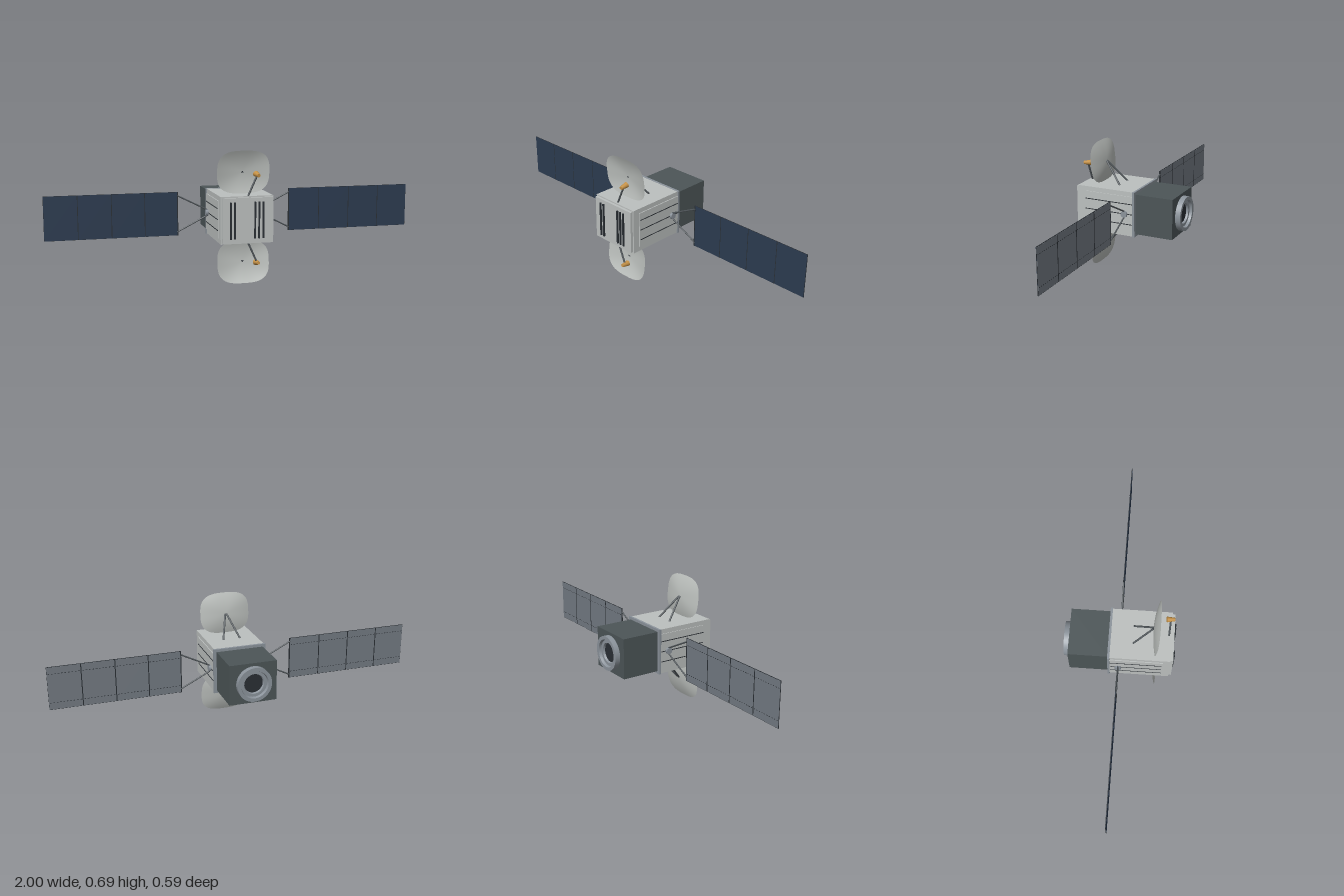
import * as THREE from 'three';

const CY = 0.345; // height of the satellite's central axis

const mat = (name, color, side = THREE.FrontSide) => {
  const m = new THREE.MeshStandardMaterial({ color, side });
  m.name = name;
  return m;
};

export function createModel() {
  const root = new THREE.Group();
  root.name = 'satellite';
  const M = {
    shell: mat('light grey shell', 0xbcc0bf),
    dish: mat('dish grey', 0xbcc0bd, THREE.DoubleSide),
    dark: mat('dark slate', 0x4c5557),
    metal: mat('blue grey metal', 0x8b939b),
    strut: mat('strut grey', 0x50565a),
    line: mat('groove black', 0x2a2f34),
    cell: mat('solar navy', 0x2c3b50),
    back: mat('panel back grey', 0x737a82),
    copper: mat('copper', 0xc69247, THREE.DoubleSide),
  };

  const add = (name, geo, material, x = 0, y = 0, z = 0, parent = root) => {
    const m = new THREE.Mesh(geo, material);
    m.name = name;
    m.position.set(x, y, z);
    parent.add(m);
    return m;
  };
  const box = (name, material, w, h, d, x, y, z, parent) =>
    add(name, new THREE.BoxGeometry(w, h, d), material, x, y, z, parent);
  // Round bar between two points, with r1 at a and r2 at b
  const rod = (name, material, a, b, r1, r2 = r1, parent = root, sides = 10) => {
    const va = new THREE.Vector3(...a), dir = new THREE.Vector3(...b).sub(va);
    const m = add(name, new THREE.CylinderGeometry(r2, r1, dir.length(), sides), material, 0, 0, 0, parent);
    m.position.copy(va).addScaledVector(dir, 0.5);
    m.quaternion.setFromUnitVectors(new THREE.Vector3(0, 1, 0), dir.normalize());
    return m;
  };

  // Main body, front plate and rear flange
  box('body', M.shell, 0.276, 0.243, 0.32, 0, CY, 0.113);
  box('frontPlate', M.shell, 0.262, 0.23, 0.014, 0, CY, 0.28);
  box('rearFlange', M.metal, 0.288, 0.246, 0.012, 0, CY, -0.051);
  for (const x of [-0.09, -0.068, 0.037, 0.058, 0.08])
    box('frontRib', M.line, 0.008, 0.188, 0.008, x, CY, 0.291);

  // Rear module with its engine ring
  box('rearModule', M.dark, 0.256, 0.217, 0.209, 0, CY, -0.1605);
  const profile = [[0.0925, 0], [0.0925, 0.028], [0.074, 0.028], [0.07, 0.014], [0.054, 0.014], [0.05, 0.002]];
  const ringGeo = new THREE.LatheGeometry(
    profile.flatMap(([r, h], i) => {
      const p = new THREE.Vector2(r, h);
      return i ? [p, p.clone()] : [p];
    }), 40);
  const ringMat = M.metal;
  ringMat.side = THREE.DoubleSide;
  add('engineRing', ringGeo, ringMat, 0, CY, -0.265).rotation.x = -Math.PI / 2;
  add('engineThroat', new THREE.CircleGeometry(0.054, 40), M.line, 0, CY, -0.268).rotation.y = Math.PI;

  for (const s of [-1, 1]) {
    // Side radiator with three grooves and the array hub
    box('sideRadiator', M.shell, 0.006, 0.193, 0.282, s * 0.14, CY, 0.094);
    for (const dy of [-0.056, 0, 0.056])
      box('radiatorGroove', M.line, 0.002, 0.004, 0.273, s * 0.1437, CY + dy, 0.0935);
    rod('arrayHub', M.metal, [s * 0.138, CY, 0], [s * 0.156, CY, 0], 0.018, 0.018, root, 8);

    // Solar wing: yoke, four panels and hinge bars
    const wing = new THREE.Group();
    wing.name = s > 0 ? 'leftSolarWing' : 'rightSolarWing';
    root.add(wing);
    for (const t of [-1, 1])
      rod('yokeStrut', M.strut, [s * 0.148, CY + t * 0.016, 0], [s * 0.309, CY + t * 0.097, 0], 0.004, 0.004, wing);
    box('yokeBar', M.line, 0.005, 0.232, 0.006, s * 0.307, CY, 0, wing);
    const step = 0.6925 / 4;
    for (let i = 0; i < 4; i++) {
      const x = s * (0.3075 + step * (i + 0.5)), w = step - 0.004;
      box('panelCore', M.line, step - 0.002, 0.232, 0.003, x, CY, 0, wing);
      box('solarCells', M.cell, w, 0.23, 0.001, x, CY, 0.002, wing);
      box('panelBack', M.back, w, 0.228, 0.001, x, CY, -0.002, wing);
      if (i) box('panelHinge', M.line, 0.005, 0.23, 0.0052, s * (0.3075 + step * i), CY, -0.0006, wing);
      // Dashed wiring rows on the back
      for (const t of [-1, 1])
        for (let k = 0; k < 10; k++)
          box('wiringDash', M.line, 0.008, 0.003, 0.0006, x + ((k - 4.5) / 10) * w, CY + t * 0.078, -0.0027, wing);
    }

    // Dish assembly, above and below the body
    const antenna = new THREE.Group();
    antenna.name = s > 0 ? 'upperAntenna' : 'lowerAntenna';
    root.add(antenna);
    const Y = (d) => CY + s * d;

    // Rounded-square bowl, made by reshaping a disc
    const bowl = new THREE.RingGeometry(0.001, 1, 64, 10);
    const p = bowl.attributes.position;
    for (let i = 0; i < p.count; i++) {
      const x = p.getX(i), y = p.getY(i), r = Math.hypot(x, y);
      const k = r / Math.cbrt(Math.abs(x / r) ** 3 + Math.abs(y / r) ** 3);
      p.setXYZ(i, 0.138 * k * (x / r), 0.1115 * k * (y / r), 0.02 * (r * r - 1));
    }
    bowl.computeVertexNormals();
    add('dish', bowl, M.dish, 0, Y(0.234), 0.196, antenna).rotation.x = s * 0.104;
    add('dishCentre', new THREE.CircleGeometry(0.004, 12), M.line, 0, Y(0.234), 0.1775, antenna);
    for (const t of [-1, 1])
      rod('dishStrut', M.strut, [t * 0.048, Y(0.119), 0.073], [t * 0.003, Y(0.234), 0.174], 0.005, 0.005, antenna);

    // Feed mast and copper horn
    rod('feedMast', M.strut, [0.006, Y(0.115), 0.258], [0.055, Y(0.224), 0.26], 0.005, 0.005, antenna);
    rod('feedHorn', M.copper, [0.058, Y(0.2245), 0.281], [0.054, Y(0.229), 0.239], 0.009, 0.015, antenna, 20);
  }
  return root;
}
